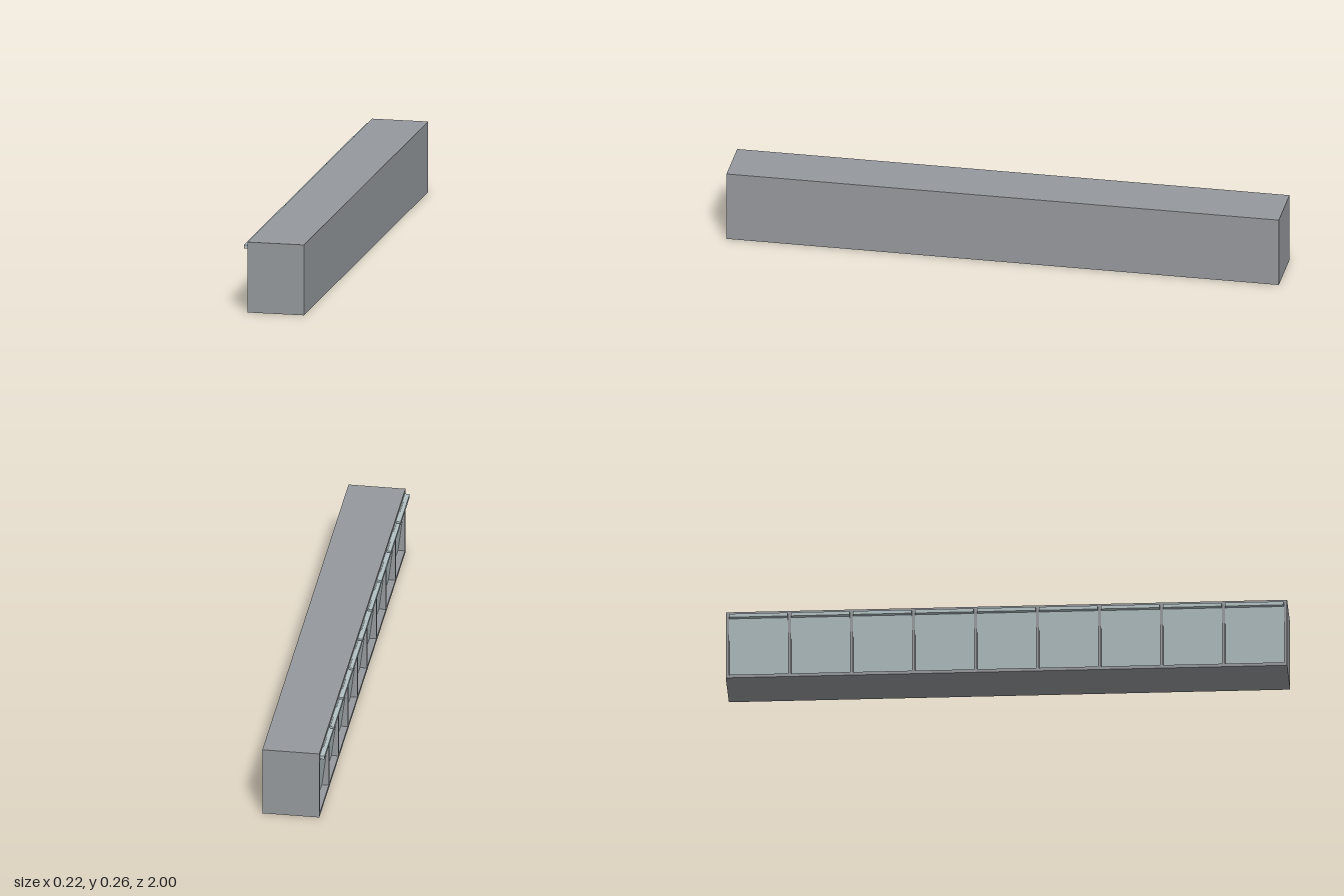
import * as THREE from 'three';

const BAYS = 9, LENGTH = 2, HEIGHT = 0.257, BAR = 0.012;
const FRONT = -0.095, CORE = -0.06, BACK = 0.11; // x positions
const PITCH = (LENGTH - BAR) / BAYS;
const OPENING = PITCH - BAR;

export function createModel() {
  const group = new THREE.Group();
  const housing = new THREE.MeshStandardMaterial({ name: 'housing grey', color: 0x95989c });
  const flap = new THREE.MeshStandardMaterial({ name: 'flap pale grey', color: 0xb3c1c4 });

  const add = (name, geometry, material, x = 0, y = 0, z = 0, parent = group) => {
    const mesh = new THREE.Mesh(geometry, material);
    mesh.name = name;
    mesh.position.set(x, y, z);
    parent.add(mesh);
    return mesh;
  };
  const bayZ = (i) => (i - (BAYS - 1) / 2) * PITCH;

  // Closed body behind the bays
  add('cabinetBody', new THREE.BoxGeometry(BACK - CORE, HEIGHT, LENGTH), housing, (BACK + CORE) / 2, HEIGHT / 2);

  // Frame with one rectangular opening per bay, drawn in z and y
  const rectangle = (target, z0, z1, y0, y1) =>
    target.moveTo(z0, y0).lineTo(z1, y0).lineTo(z1, y1).lineTo(z0, y1).closePath();
  const face = rectangle(new THREE.Shape(), -LENGTH / 2, LENGTH / 2, 0, HEIGHT);
  for (let i = 0; i < BAYS; i++) {
    const z = bayZ(i);
    face.holes.push(rectangle(new THREE.Path(), z - OPENING / 2, z + OPENING / 2, BAR, HEIGHT - BAR));
  }
  const frame = new THREE.ExtrudeGeometry(face, { depth: CORE - FRONT, bevelEnabled: false });
  frame.rotateY(-Math.PI / 2);
  add('bayFrame', frame, housing, CORE);

  // Tilted flap whose foot is set back into the bay
  const profile = new THREE.Shape([
    new THREE.Vector2(-0.07, BAR),
    new THREE.Vector2(-0.064, BAR),
    new THREE.Vector2(-0.093, HEIGHT - BAR),
    new THREE.Vector2(-0.099, HEIGHT - BAR),
  ]);
  const panel = new THREE.ExtrudeGeometry(profile, { depth: OPENING, bevelEnabled: false });
  panel.translate(0, 0, -OPENING / 2);
  const handle = new THREE.BoxGeometry(0.016, 0.013, OPENING);

  for (let i = 0; i < BAYS; i++) {
    const door = new THREE.Group();
    door.name = 'flapDoor' + (i + 1);
    door.position.z = bayZ(i);
    add('flapPanel', panel, flap, 0, 0, 0, door);
    add('flapHandle', handle, flap, -0.104, 0.2365, 0, door);
    group.add(door);
  }
  return group;
}
